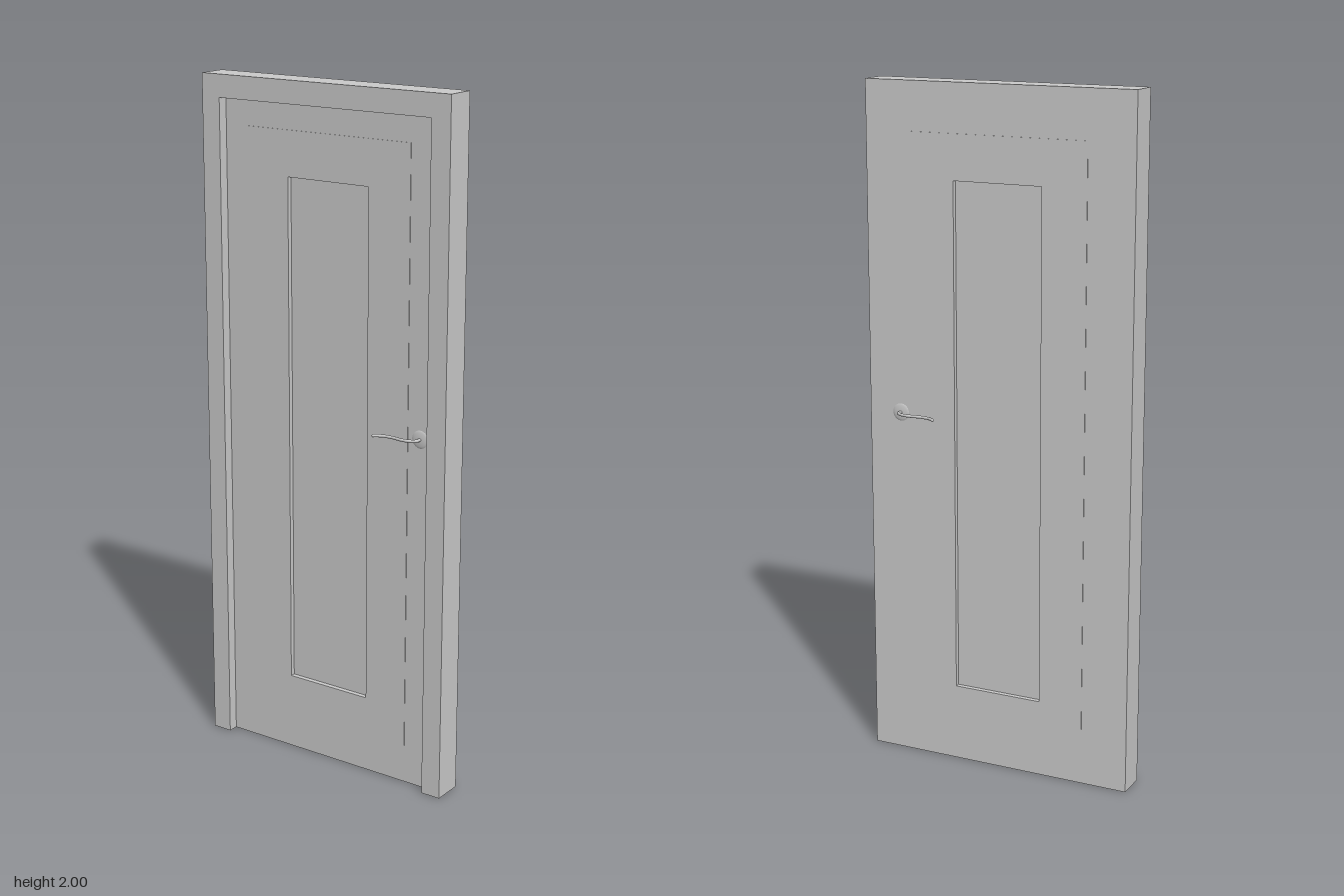
import * as THREE from 'three';

const material = new THREE.MeshStandardMaterial({ color: 0xcccccc, side: THREE.DoubleSide });

function add(parent, name, geometry) {
  const mesh = new THREE.Mesh(geometry, material);
  mesh.name = name;
  parent.add(mesh);
  return mesh;
}

// Rectangle symmetric about the door's centre line
function rect(half, y0, y1, Type = THREE.Shape) {
  return new Type([[-half, y0], [half, y0], [half, y1], [-half, y1]].map(([a, b]) => new THREE.Vector2(a, b)));
}

// Upright outline extruded across the door thickness, from x0 to x1
function slice(shape, x0, x1) {
  return new THREE.ExtrudeGeometry(shape, { depth: x1 - x0, bevelEnabled: false })
    .rotateY(Math.PI / 2).translate(x0, 0, 0);
}

function withHole(shape, hole) {
  shape.holes.push(hole);
  return shape;
}

// Inverted U outline with legs standing on the floor
function arch(outer, top, inner, innerTop) {
  return new THREE.Shape([
    [-outer, 0], [-inner, 0], [-inner, innerTop], [inner, innerTop],
    [inner, 0], [outer, 0], [outer, top], [-outer, top],
  ].map(([a, b]) => new THREE.Vector2(a, b)));
}

// Lever handle for the +x side
function createHandle() {
  const handle = new THREE.Group();
  handle.name = 'handle';
  const y = 1.05, z = 0.31;
  const profile = [[0, 0], [0.027, 0], [0.026, 0.002], [0.02, 0.0035], [0.01, 0.005], [0, 0.005]]
    .map(([r, h]) => new THREE.Vector2(r, h));
  add(handle, 'rosette', new THREE.LatheGeometry(profile, 20)
    .rotateZ(-Math.PI / 2).translate(0.028, y, z));
  const path = new THREE.CatmullRomCurve3([
    [0.028, 0.31], [0.045, 0.31], [0.052, 0.305], [0.06, 0.29], [0.062, 0.268],
    [0.058, 0.235], [0.062, 0.203], [0.074, 0.184],
  ].map(([px, pz]) => new THREE.Vector3(px, y, pz)));
  add(handle, 'lever', new THREE.TubeGeometry(path, 32, 0.0045, 10));
  add(handle, 'leverTip', new THREE.SphereGeometry(0.0045, 10, 8).translate(0.074, y, 0.184));
  return handle;
}

export function createModel() {
  const model = new THREE.Group();
  model.name = 'door';

  // Frame: thin outer rim around the leaf, wider stop behind it
  const frame = new THREE.Group();
  frame.name = 'frame';
  model.add(frame);
  add(frame, 'frameRim', slice(arch(0.41, 2, 0.405, 1.995), -0.03, 0.03));
  add(frame, 'frameStop', slice(arch(0.41, 2, 0.35, 1.935), -0.06, -0.03));

  // Leaf with a raised border and a sunken centre panel on both faces
  const leaf = new THREE.Group();
  leaf.name = 'leaf';
  model.add(leaf);
  add(leaf, 'slab', slice(
    withHole(rect(0.405, 0, 1.995), rect(0.27, 0.1, 1.86, THREE.Path)), -0.03, 0.03));
  add(leaf, 'panelBorder', slice(
    withHole(rect(0.27, 0.1, 1.86), rect(0.135, 0.23, 1.73, THREE.Path)), -0.0315, 0.0315));
  add(leaf, 'centrePanel', slice(rect(0.135, 0.23, 1.73), -0.017, 0.017));

  // Handles on both faces
  const front = createHandle();
  const back = createHandle();
  front.name = 'leftHandle';
  back.name = 'rightHandle';
  back.scale.x = -1;
  model.add(front, back);
  return model;
}
